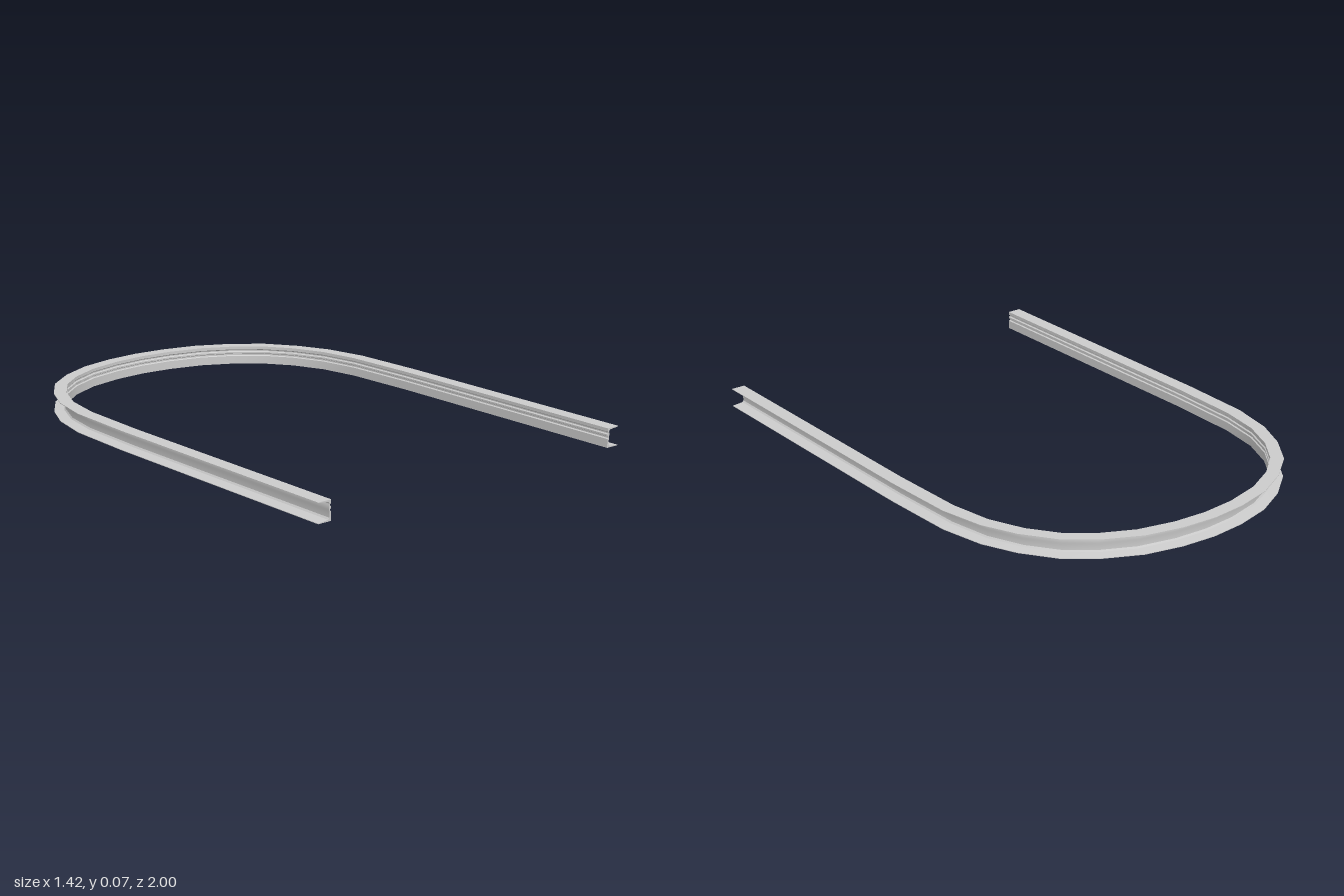
import * as THREE from 'three';
import { toCreasedNormals } from 'three/addons/utils/BufferGeometryUtils.js';

// Half of the plan, from the open end to the middle of the arch: [inner x, inner z, outer x, outer z]
const HALF_PLAN = [
  [0.655, 1, 0.71, 1], [0.655, -0.07, 0.71, -0.09], [0.645, -0.37, 0.7, -0.38],
  [0.617, -0.53, 0.665, -0.55], [0.562, -0.66, 0.607, -0.68], [0.487, -0.765, 0.522, -0.8],
  [0.392, -0.842, 0.407, -0.89], [0.27, -0.903, 0.277, -0.955], [0.13, -0.937, 0.135, -0.989],
  [0, -0.947, 0, -1],
];

// Channel section: [fraction from inner to outer edge, height], with two grooves along the web
const SECTION = [
  [0, 0], [0, 0.033], [0.09, 0.036], [0.09, 0.041], [0, 0.044], [0, 0.05],
  [0.09, 0.053], [0.09, 0.057], [0, 0.061], [0, 0.073],
  [1, 0.073], [1, 0.071], [0.22, 0.067], [0.13, 0.06], [0.16, 0.055], [0.16, 0.039],
  [0.13, 0.033], [0.13, 0.012], [0.22, 0.006], [1, 0.002], [1, 0],
];

// Sweep the section along the plan and close both ends
function channelGeometry(plan, section) {
  const positions = [], index = [], n = section.length;
  for (const [ix, iz, ox, oz] of plan) {
    for (const [t, y] of section) positions.push(ix + (ox - ix) * t, y, iz + (oz - iz) * t);
  }
  for (let i = 0; i < plan.length - 1; i++) {
    for (let j = 0; j < n; j++) {
      const k = (j + 1) % n;
      const a = i * n + j, b = i * n + k, c = a + n, d = b + n;
      index.push(a, b, c, b, d, c);
    }
  }
  const last = (plan.length - 1) * n;
  const outline = section.map(([t, y]) => new THREE.Vector2(t, y));
  for (const [a, b, c] of THREE.ShapeUtils.triangulateShape(outline, [])) {
    index.push(a, b, c, last + a, last + c, last + b);
  }
  const geometry = new THREE.BufferGeometry();
  geometry.setAttribute('position', new THREE.Float32BufferAttribute(positions, 3));
  geometry.setIndex(index);
  return toCreasedNormals(geometry, 0.45);
}

export function createModel() {
  const group = new THREE.Group();
  group.name = 'archedTrack';

  // Mirror the half plan to get the full arch
  const mirrored = HALF_PLAN.slice(0, -1).reverse().map(([ix, iz, ox, oz]) => [-ix, iz, -ox, oz]);
  const material = new THREE.MeshStandardMaterial({ color: 0xcccccc, side: THREE.DoubleSide });
  const channel = new THREE.Mesh(channelGeometry([...HALF_PLAN, ...mirrored], SECTION), material);
  channel.name = 'channelRail';
  group.add(channel);
  return group;
}
